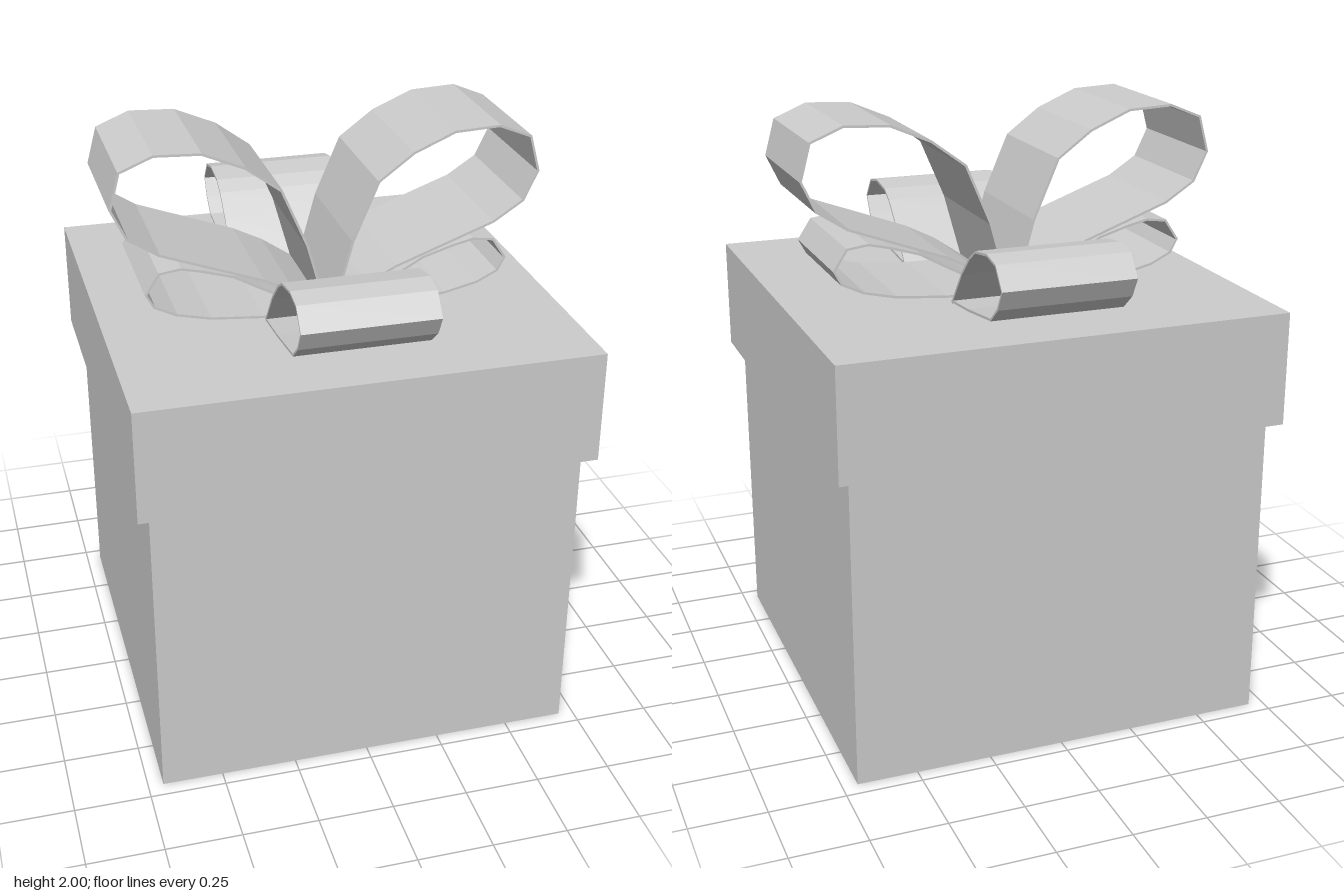
import * as THREE from 'three';

const THICKNESS = 0.008;

// Ribbon strip: follows a clockwise path of [outward, up] points, thickened inward
function ribbonGeometry(path, halfWidth) {
  const pts = path.map(([u, y]) => new THREE.Vector2(u, y));
  const positions = [];
  const index = [];
  pts.forEach((p, i) => {
    const before = pts[Math.max(i - 1, 0)];
    const after = pts[Math.min(i + 1, pts.length - 1)];
    const d = after.clone().sub(before).normalize();
    const inner = new THREE.Vector2(p.x + d.y * THICKNESS, p.y - d.x * THICKNESS);
    positions.push(p.x, p.y, halfWidth, p.x, p.y, -halfWidth);
    positions.push(inner.x, inner.y, -halfWidth, inner.x, inner.y, halfWidth);
    if (i === pts.length - 1) return;
    for (let j = 0; j < 4; j++) {
      const a = i * 4 + j, b = i * 4 + ((j + 1) % 4);
      index.push(a, a + 4, b + 4, a, b + 4, b);
    }
  });
  const e = (pts.length - 1) * 4;
  index.push(0, 1, 2, 0, 2, 3, e, e + 2, e + 1, e, e + 3, e + 2);
  const indexed = new THREE.BufferGeometry();
  indexed.setAttribute('position', new THREE.Float32BufferAttribute(positions, 3));
  indexed.setIndex(index);
  const geometry = indexed.toNonIndexed();
  geometry.computeVertexNormals();
  return geometry;
}

const TALL_LOOP = [
  [0.003, 1.42], [0.068, 1.655], [0.152, 1.85], [0.267, 1.935], [0.403, 1.993], [0.553, 2],
  [0.662, 1.955], [0.695, 1.835], [0.648, 1.735], [0.548, 1.67], [0.22, 1.55], [0.12, 1.5], [0.003, 1.42],
];
const LOW_LOOP = [
  [0.003, 1.42], [0.12, 1.475], [0.22, 1.527], [0.31, 1.577], [0.41, 1.607], [0.48, 1.623], [0.552, 1.613],
  [0.598, 1.543], [0.572, 1.495], [0.5, 1.46], [0.39, 1.435], [0.22, 1.42], [0.003, 1.417],
];
const SIDE_LOOP = [
  [0.235, 1.42], [0.33, 1.54], [0.405, 1.61], [0.455, 1.64], [0.555, 1.655], [0.63, 1.64],
  [0.685, 1.57], [0.65, 1.505], [0.59, 1.455], [0.395, 1.43], [0.235, 1.417],
];

export function createModel() {
  const model = new THREE.Group();
  model.name = 'giftBox';
  const grey = new THREE.MeshStandardMaterial({ color: 0xcccccc });
  grey.name = 'pale grey';

  const add = (name, geometry, parent = model) => {
    const mesh = new THREE.Mesh(geometry, grey);
    mesh.name = name;
    parent.add(mesh);
    return mesh;
  };

  // Box and overhanging lid
  add('boxBody', new THREE.BoxGeometry(1.4, 1.04, 1.4)).position.y = 0.52;
  add('lid', new THREE.BoxGeometry(1.48, 0.375, 1.48)).position.y = 1.2275;

  // Bow: two stacked loops left and right, one loop front and back
  const bow = new THREE.Group();
  bow.name = 'bow';
  model.add(bow);
  const loops = [
    ['tallLoopLeft', TALL_LOOP, 0.225, 0, 0, 0],
    ['tallLoopRight', TALL_LOOP, 0.225, Math.PI, -0.006, 0],
    ['lowLoopLeft', LOW_LOOP, 0.22, 0, 0, 0],
    ['lowLoopRight', LOW_LOOP, 0.22, Math.PI, -0.006, 0],
    ['frontLoop', SIDE_LOOP, 0.22, -Math.PI / 2, 0, -0.007],
    ['backLoop', SIDE_LOOP, 0.22, Math.PI / 2, 0, -0.027],
  ];
  for (const [name, path, halfWidth, angle, x, z] of loops) {
    const loop = add(name, ribbonGeometry(path, halfWidth), bow);
    loop.rotation.y = angle;
    loop.position.set(x, 0, z);
  }
  return model;
}
